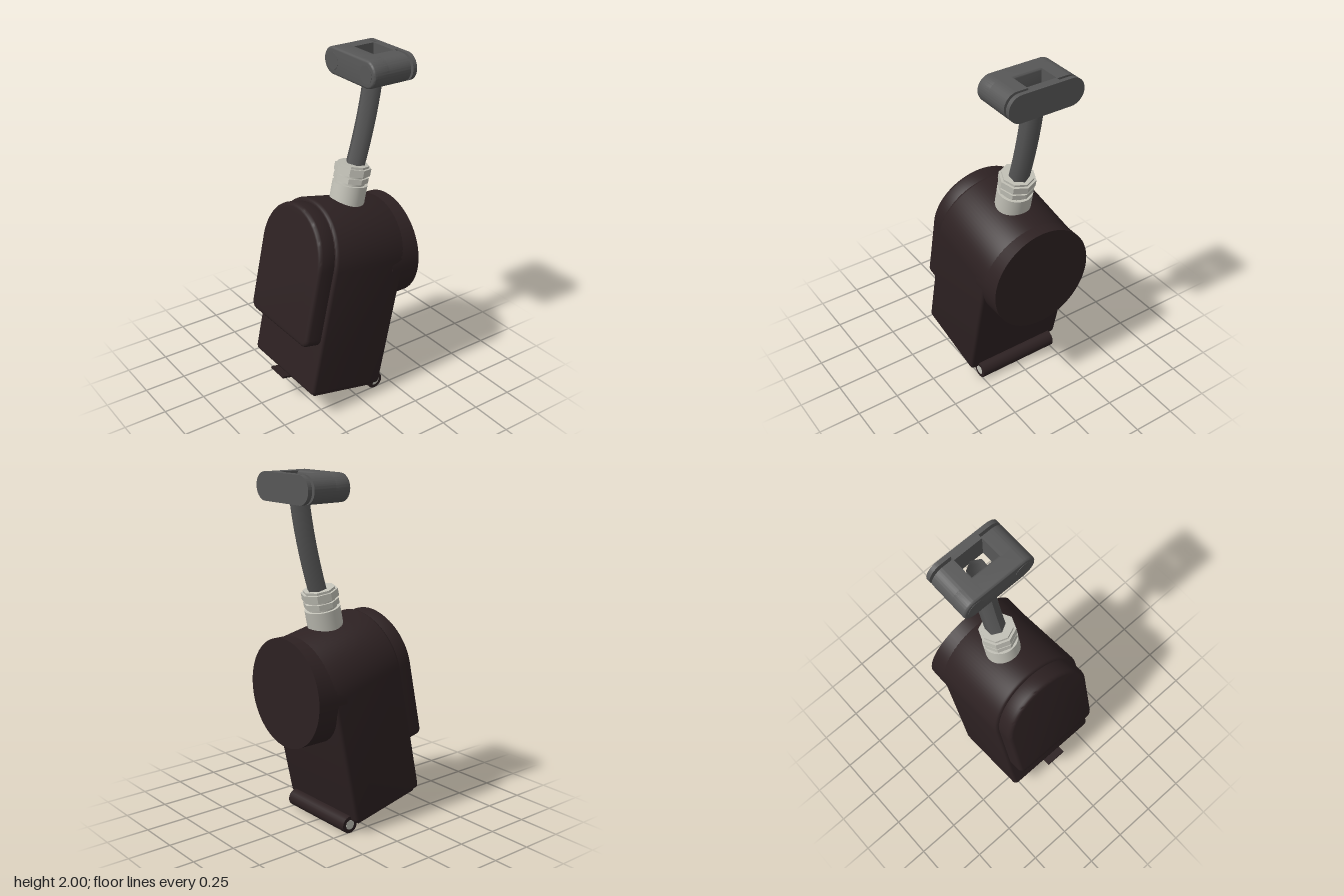
import * as THREE from 'three';
import { toCreasedNormals } from 'three/addons/utils/BufferGeometryUtils.js';

const TILT = -0.2095;

export function createModel() {
  const material = (name, color, side = THREE.FrontSide) => {
    const m = new THREE.MeshStandardMaterial({ color, side });
    m.name = name;
    return m;
  };
  const brown = material('dark brown', 0x2d2122);
  const grey = material('dark grey', 0x575757, THREE.DoubleSide);
  const pale = material('pale metal', 0xc2c1b7);

  const model = new THREE.Group();
  model.name = 'tiltedHousing';
  const add = (parent, name, geometry, mat, x = 0, y = 0, z = 0) => {
    const mesh = new THREE.Mesh(geometry, mat);
    mesh.name = name;
    mesh.position.set(x, y, z);
    parent.add(mesh);
    return mesh;
  };

  // Extrudes an outline from z0 to z1 with rounded rims
  const slab = (shape, z0, z1, bevel = 0) => {
    const g = new THREE.ExtrudeGeometry(shape, {
      depth: z1 - z0 - 2 * bevel, curveSegments: 24, bevelEnabled: bevel > 0,
      bevelThickness: bevel, bevelSize: bevel, bevelOffset: -bevel, bevelSegments: 3,
    });
    g.translate(0, 0, z0 + bevel);
    return toCreasedNormals(g, 0.6);
  };

  // Round-topped outline with small bottom corners
  const arch = (w, bottom, centre, r) => {
    const s = new THREE.Shape();
    s.moveTo(-w + r, bottom);
    s.lineTo(w - r, bottom);
    s.absarc(w - r, bottom + r, r, -Math.PI / 2, 0, false);
    s.lineTo(w, centre);
    s.absarc(0, centre, w, 0, Math.PI, false);
    s.lineTo(-w, bottom + r);
    s.absarc(-w + r, bottom + r, r, Math.PI, Math.PI * 1.5, false);
    return s;
  };

  // Pill outline, or only its outer end when inner > 0
  const pill = (w, r, inner = 0) => {
    const s = new THREE.Shape();
    const left = inner > 0 ? inner : -(w - r);
    s.moveTo(left, -r);
    s.lineTo(w - r, -r);
    s.absarc(w - r, 0, r, -Math.PI / 2, Math.PI / 2, false);
    s.lineTo(left, r);
    if (inner > 0) s.lineTo(left, -r);
    else s.absarc(left, 0, r, Math.PI / 2, Math.PI * 1.5, false);
    return s;
  };

  const cylX = (r, l) => new THREE.CylinderGeometry(r, r, l, 24).rotateZ(Math.PI / 2);
  const cylZ = (r, l, n = 32) => new THREE.CylinderGeometry(r, r, l, n).rotateX(Math.PI / 2);

  // Tilted housing
  const housing = new THREE.Group();
  housing.name = 'housing';
  housing.rotation.x = TILT;
  model.add(housing);
  add(housing, 'body', slab(arch(0.308, 0.088, 0.852, 0.03), -0.107, 0.374, 0.018), brown);
  add(housing, 'frontCover', slab(arch(0.288, 0.391, 0.85, 0.05), 0.355, 0.472, 0.022), brown);
  add(housing, 'coverStrip', new THREE.BoxGeometry(0.23, 0.006, 0.015), pale, -0.115, 0.389, 0.384);
  add(housing, 'bottomLid', new THREE.BoxGeometry(0.57, 0.014, 0.43), brown, 0, 0.084, 0.13);
  add(housing, 'lidTab', new THREE.BoxGeometry(0.13, 0.012, 0.07), brown, 0, 0.088, 0.38);

  // Hinge along the bottom back edge
  add(housing, 'hingeBarrel', cylX(0.05, 0.51), brown, 0, 0.077, -0.122);
  add(housing, 'hingePin', cylX(0.028, 0.514), pale, 0, 0.077, -0.122);

  // Cable gland: collar, ring and hexagonal nut
  const gland = new THREE.Group();
  gland.name = 'gland';
  gland.position.z = 0.138;
  housing.add(gland);
  const ring = (name, r, y0, y1, n) => {
    const g = new THREE.CylinderGeometry(r, r, y1 - y0, n);
    add(gland, name, n < 12 ? toCreasedNormals(g, 0.3) : g, pale, 0, (y0 + y1) / 2, 0);
  };
  ring('glandCollar', 0.1, 1.08, 1.255, 32);
  ring('glandNeck', 0.083, 1.25, 1.355, 24);
  ring('glandRing', 0.1, 1.27, 1.3, 8);
  ring('glandNut', 0.104, 1.313, 1.355, 8);
  ring('glandCap', 0.09, 1.35, 1.368, 8);

  // Upright disc on the back
  add(model, 'backDisc', cylZ(0.309, 0.19, 64), brown, 0, 0.81, -0.295);

  // Six-sided stem, bent backwards as it rises
  const path = new THREE.QuadraticBezierCurve(
    new THREE.Vector2(-0.148, 1.32), new THREE.Vector2(-0.245, 1.62), new THREE.Vector2(-0.278, 1.88));
  const stem = new THREE.CylinderGeometry(0.058, 0.058, 1, 6, 14, true);
  const p = stem.attributes.position;
  for (let i = 0; i < p.count; i++) {
    const c = path.getPoint(p.getY(i) + 0.5);
    p.setY(i, c.y);
    p.setZ(i, p.getZ(i) + c.x);
  }
  stem.computeVertexNormals();
  add(model, 'stem', stem, grey);

  // Clamp with a slot for the stem, and its back plate
  const clamp = new THREE.Group();
  clamp.name = 'clamp';
  clamp.position.y = 1.923;
  model.add(clamp);
  add(clamp, 'clampFront', slab(pill(0.227, 0.077), -0.219, -0.11, 0.012), grey);
  add(clamp, 'backPlate', slab(pill(0.227, 0.077), -0.39, -0.365), grey);
  add(clamp, 'plateBoss', new THREE.BoxGeometry(0.176, 0.154, 0.028), grey, 0, 0, -0.354);
  for (const side of [-1, 1]) {
    const arm = slab(pill(0.227, 0.077, 0.088), -0.349, -0.13);
    if (side < 0) arm.rotateZ(Math.PI);
    add(clamp, 'clampArm', arm, grey);
    add(clamp, 'clampBolt', cylZ(0.021, 0.03, 20), grey, side * 0.15, 0, -0.357);
    add(clamp, 'boltHead', cylZ(0.05, 0.006), grey, side * 0.15, 0, -0.1115);
  }
  return model;
}
